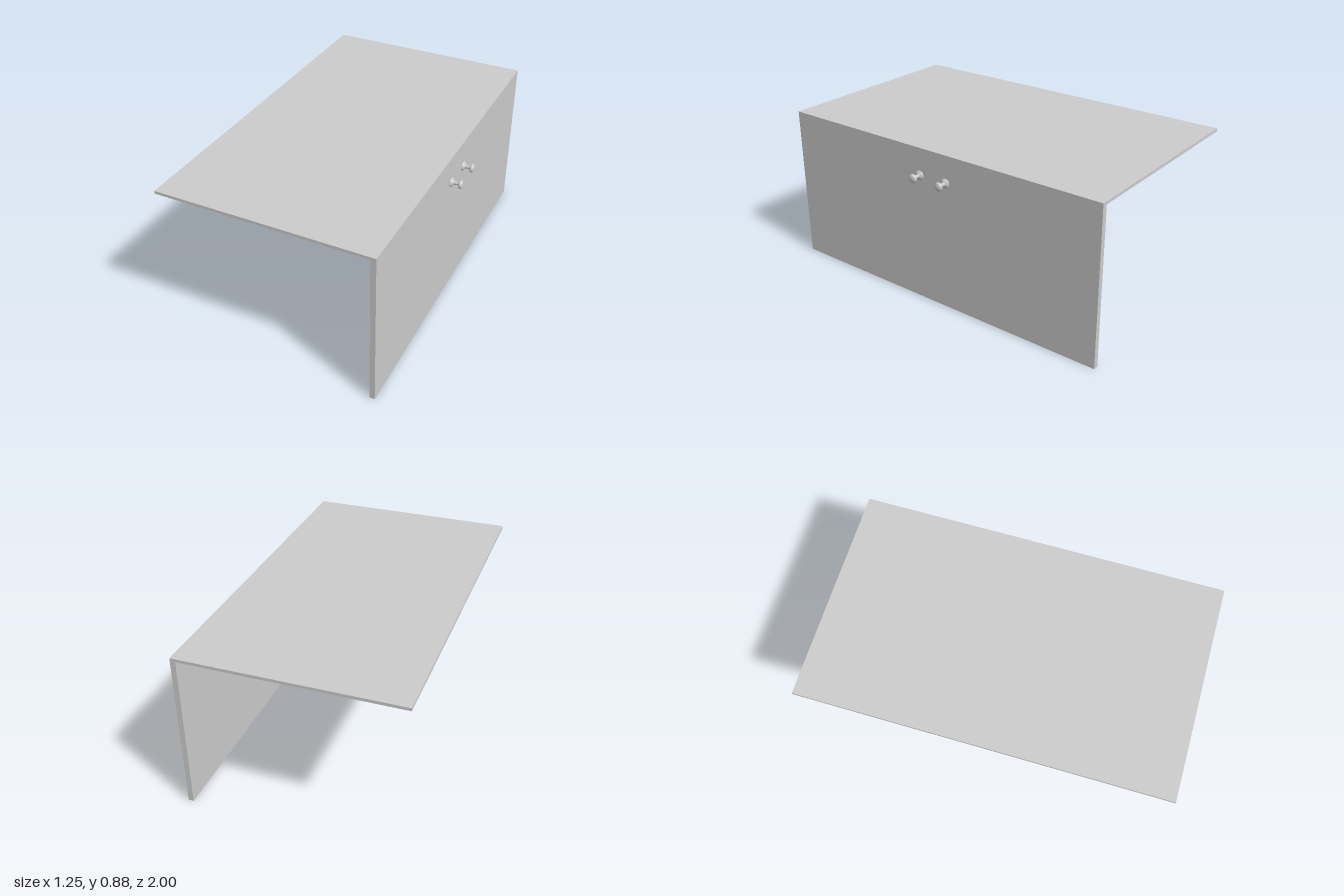
import * as THREE from 'three';

const grey = new THREE.MeshStandardMaterial({ color: 0xcccccc });

// Box given by its min and max corners
function slab(name, [x0, y0, z0], [x1, y1, z1]) {
  const mesh = new THREE.Mesh(new THREE.BoxGeometry(x1 - x0, y1 - y0, z1 - z0), grey);
  mesh.position.set((x0 + x1) / 2, (y0 + y1) / 2, (z0 + z1) / 2);
  mesh.name = name;
  return mesh;
}

// Turned knob: flared foot, thin stem, rounded head; [radius, distance from panel]
const knobProfile = [
  [0, 0], [0.027, 0], [0.027, 0.003], [0.023, 0.008], [0.015, 0.013], [0.0105, 0.016],
  [0.0095, 0.02], [0.0095, 0.041], [0.012, 0.043], [0.019, 0.045], [0.023, 0.048],
  [0.024, 0.053], [0.023, 0.058], [0.019, 0.062], [0.011, 0.065], [0, 0.066],
].map(([r, h]) => new THREE.Vector2(r, h));

export function createModel() {
  const model = new THREE.Group();
  model.name = 'panelWithKnobs';

  // Horizontal top and upright front panel
  model.add(slab('topBoard', [-0.623, 0.866, -1], [0.557, 0.882, 1]));
  model.add(slab('uprightPanel', [0.528, 0, -1], [0.557, 0.866, 1]));

  // Pair of knobs facing +x
  const knobGeometry = new THREE.LatheGeometry(knobProfile, 32);
  for (const side of [-1, 1]) {
    const knob = new THREE.Mesh(knobGeometry, grey);
    knob.name = side > 0 ? 'frontKnob' : 'backKnob';
    knob.rotation.z = -Math.PI / 2;
    knob.position.set(0.557, 0.73, side * 0.086);
    model.add(knob);
  }
  return model;
}
